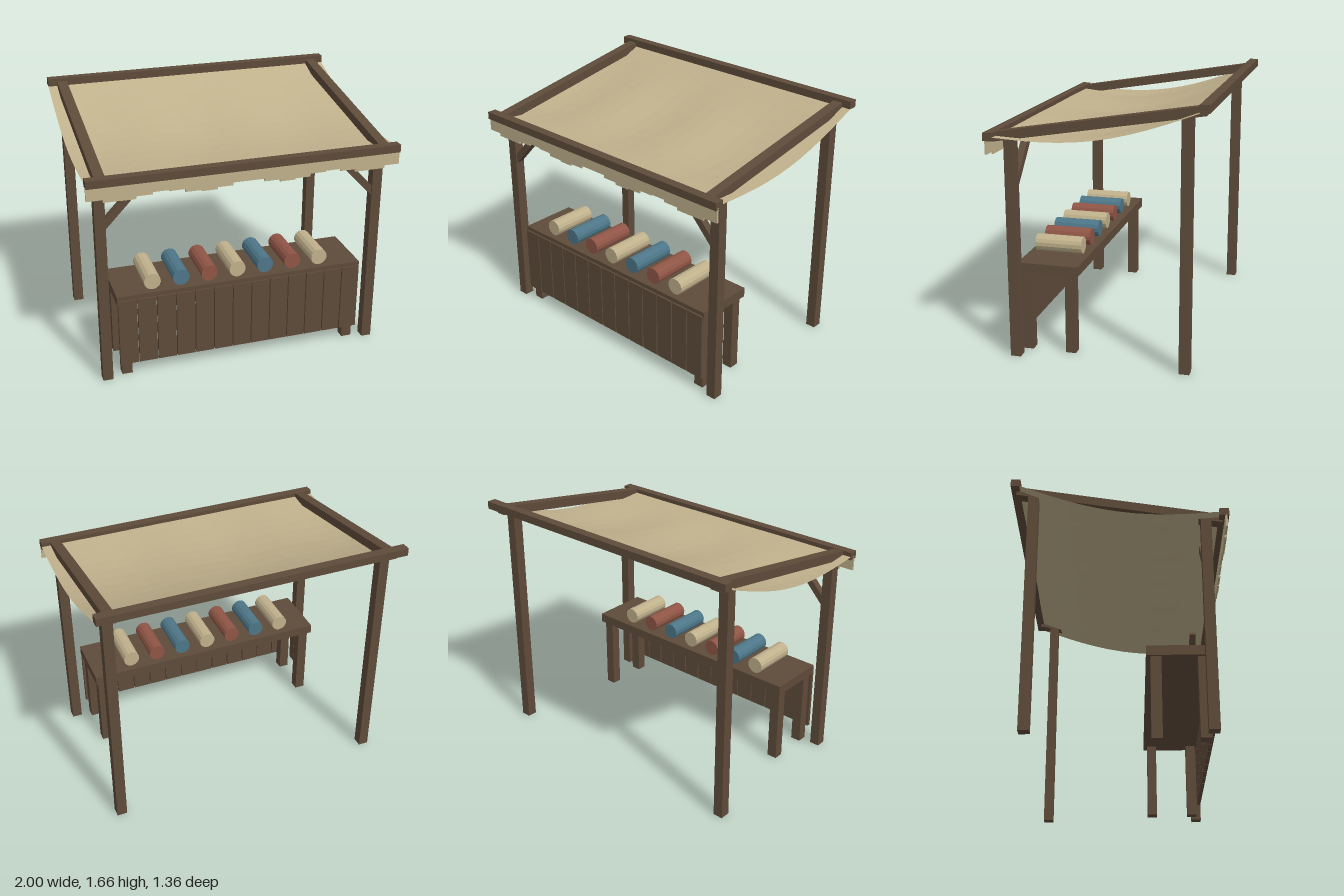
import * as THREE from 'three';

export function createModel() {
  const model = new THREE.Group();
  const mat = (name, color, side = THREE.FrontSide) => {
    const m = new THREE.MeshStandardMaterial({ color, flatShading: true, side });
    m.name = name;
    return m;
  };
  const wood = mat('darkWood', 0x5e4b3a);
  const cream = mat('creamCloth', 0xc0b18c, THREE.DoubleSide);
  const blue = mat('blueCloth', 0x4d7688);
  const red = mat('redCloth', 0x8f5546);

  const add = (name, geometry, material, x, y, z) => {
    const mesh = new THREE.Mesh(geometry, material);
    mesh.name = name;
    mesh.position.set(x, y, z);
    model.add(mesh);
    return mesh;
  };
  // Box given by its minimum and maximum corners
  const block = (name, material, x0, x1, y0, y1, z0, z1) =>
    add(name, new THREE.BoxGeometry(x1 - x0, y1 - y0, z1 - z0), material,
      (x0 + x1) / 2, (y0 + y1) / 2, (z0 + z1) / 2);

  // Frame: front and back rails
  block('frontRail', wood, -1, 1, 1.39, 1.44, 0.62, 0.68);
  block('backRail', wood, -1, 1, 1.615, 1.665, -0.68, -0.62);

  for (const s of [-1, 1]) {
    const px = s * 0.907, h = 0.033;
    block('frontPost', wood, px - h, px + h, 0, 1.405, 0.507, 0.573);
    block('backPost', wood, px - h, px + h, 0, 1.59, -0.573, -0.507);

    // Sloping side beam
    const rafter = add('sideBeam', new THREE.BoxGeometry(0.066, 0.058, 1.31), wood, px, 1.512, 0);
    rafter.rotation.x = Math.atan(0.166);

    // Diagonal brace from post to front rail
    const from = new THREE.Vector2(0.9, 1.07), to = new THREE.Vector2(0.602, 1.385);
    const d = to.clone().sub(from);
    const brace = add('brace', new THREE.BoxGeometry(d.length(), 0.045, 0.045), wood,
      s * (from.x + to.x) / 2, (from.y + to.y) / 2, 0.54);
    brace.rotation.z = s * Math.atan2(d.y, d.x);

    // Counter legs
    for (const z of [0.218, 0.502]) {
      block('counterLeg', wood, s * 0.773 - 0.034, s * 0.773 + 0.034, 0, 0.525, z - 0.033, z + 0.033);
    }
  }

  // Sagging canopy with soft ripples across its width
  const canopy = new THREE.PlaneGeometry(2, 1.3, 20, 12).rotateX(-Math.PI / 2);
  const p = canopy.attributes.position;
  for (let i = 0; i < p.count; i++) {
    const x = p.getX(i), t = (0.65 - p.getZ(i)) / 1.3;
    const sag = Math.sin(Math.PI * t);
    const ripple = -0.011 * Math.sin(2 * Math.PI * (x + 0.3) / 0.7);
    p.setY(i, 1.415 + 0.21 * t + sag * (ripple - 0.102));
  }
  canopy.computeVertexNormals();
  add('canopy', canopy, cream, 0, 0, 0);

  // Valance: hanging strips with a wavy lower edge
  for (let i = 0; i < 20; i++) {
    const x = -0.95 + i * 0.1;
    const bottom = 1.304 + 0.017 * Math.cos(2 * Math.PI * x / 0.53);
    block('valanceStrip', cream, x - 0.05, x + 0.05, bottom, 1.41, 0.655, 0.668);
  }

  // Counter top and front boards
  block('counterTop', wood, -0.825, 0.825, 0.52, 0.583, 0.16, 0.556);
  for (let i = 0; i < 13; i++) {
    const x = (i - 6) * 0.1267;
    block('frontBoard', wood, x - 0.06, x + 0.06, 0.095, 0.555, 0.545, 0.568);
  }

  // Cloth rolls lying front to back
  const rollGeometry = new THREE.CylinderGeometry(0.055, 0.055, 0.31, 14).rotateX(Math.PI / 2);
  const rollColours = [cream, blue, red];
  for (let i = 0; i < 7; i++) {
    add('clothRoll', rollGeometry, rollColours[i % 3], -0.584 + i * 0.189, 0.638, 0.36);
  }

  return model;
}
